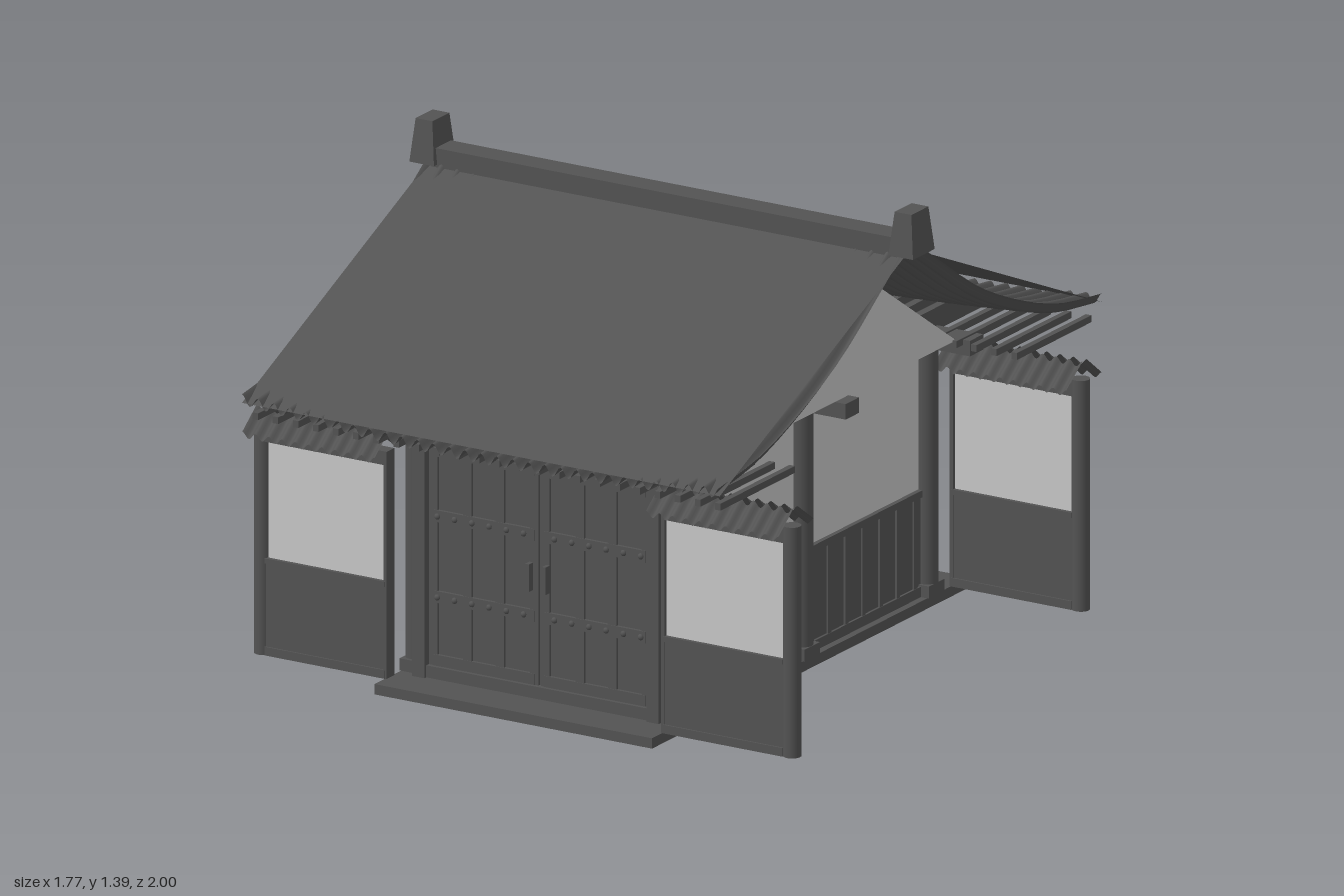
import * as THREE from 'three';

const dark = new THREE.MeshStandardMaterial({ color: 0x535353, side: THREE.DoubleSide });
dark.name = 'charcoal timber and tile';
const light = new THREE.MeshStandardMaterial({ color: 0xc8c8c8, side: THREE.DoubleSide });
light.name = 'pale plaster';

function add(parent, name, geometry, material, x = 0, y = 0, z = 0) {
  const mesh = new THREE.Mesh(geometry, material);
  mesh.name = name;
  mesh.position.set(x, y, z);
  parent.add(mesh);
  return mesh;
}

// Box given by its limits on each axis
function box(parent, name, x0, x1, y0, y1, z0, z1, material = dark) {
  return add(parent, name, new THREE.BoxGeometry(x1 - x0, y1 - y0, z1 - z0), material,
    (x0 + x1) / 2, (y0 + y1) / 2, (z0 + z1) / 2);
}

function post(parent, name, x, z, y0, y1, r) {
  add(parent, name, new THREE.CylinderGeometry(r, r, y1 - y0, 16), dark, x, (y0 + y1) / 2, z);
}

// Corrugated sheet: heightAt(x, v) and zAt(v) give its surface, waves run across x
function tiles(x0, x1, waves, rows, zAt, heightAt, amp) {
  const g = new THREE.PlaneGeometry(1, 1, waves * 8, rows);
  const p = g.attributes.position;
  for (let i = 0; i < p.count; i++) {
    const u = p.getX(i) + 0.5, v = p.getY(i) + 0.5;
    const x = x0 + (x1 - x0) * u;
    const wave = amp * Math.cos(u * waves * Math.PI * 2);
    p.setXYZ(i, x, heightAt(x, v) + wave, zAt(v));
  }
  g.computeVertexNormals();
  return g;
}

// Everything that repeats on the front and the back
function buildEnd() {
  const end = new THREE.Group();

  // Double door with frame, panels, studs and handles
  const door = new THREE.Group();
  door.name = 'doubleDoor';
  end.add(door);
  box(door, 'doorLintel', -0.4, 0.4, 0.705, 0.745, 0.67, 0.715);
  box(door, 'doorSill', -0.4, 0.4, 0.03, 0.065, 0.67, 0.705);
  for (const s of [-1, 1]) {
    const jamb = s * 0.38;
    box(door, 'doorJamb', jamb - 0.02, jamb + 0.02, 0.03, 0.745, 0.67, 0.715);
    const c = s * 0.18;
    box(door, 'doorLeaf', c - 0.18, c + 0.18, 0.06, 0.71, 0.668, 0.685);
    for (const x of [0.018, 0.13, 0.235, 0.345]) {
      box(door, 'doorStile', s * x - 0.014, s * x + 0.014, 0.065, 0.705, 0.685, 0.692);
    }
    for (const y of [0.08, 0.265, 0.5, 0.69]) {
      box(door, 'doorRail', c - 0.165, c + 0.165, y - 0.017, y + 0.017, 0.685, 0.694);
    }
    for (const y of [0.265, 0.5]) {
      for (let i = 0; i < 6; i++) {
        const stud = add(door, 'doorStud', new THREE.SphereGeometry(0.009, 8, 6), dark, s * (0.05 + i * 0.056), y, 0.696);
        stud.scale.z = 0.8;
      }
    }
    box(door, 'doorHandle', s * 0.027 - 0.006, s * 0.027 + 0.006, 0.34, 0.42, 0.69, 0.715);
  }

  // Corner posts and tie beam
  for (const s of [-1, 1]) {
    post(end, 'cornerPost', s * 0.425, 0.65, 0.03, 0.8, 0.032);
    box(end, 'postBase', s * 0.415 - 0.04, s * 0.415 + 0.04, 0.03, 0.065, 0.61, 0.692);
  }
  box(end, 'tieBeam', -0.585, 0.585, 0.755, 0.8, 0.615, 0.685);

  // Wing screens on both sides of the door
  for (const s of [-1, 1]) {
    const wing = new THREE.Group();
    wing.name = 'wingScreen';
    const w = (name, a, b, ...rest) => box(wing, name, Math.min(s * a, s * b), Math.max(s * a, s * b), ...rest);
    w('wingLowerPanel', 0.45, 0.84, 0.03, 0.31, 0.738, 0.772);
    w('wingPlaster', 0.452, 0.84, 0.31, 0.655, 0.745, 0.765, light);
    w('wingTopRail', 0.45, 0.85, 0.65, 0.69, 0.735, 0.775);
    w('wingMidRail', 0.45, 0.84, 0.297, 0.312, 0.733, 0.777);
    w('wingFoot', 0.45, 0.84, 0.03, 0.055, 0.733, 0.777);
    w('wingInnerStile', 0.445, 0.456, 0.03, 0.69, 0.735, 0.775);
    post(wing, 'wingPost', s * 0.858, 0.755, 0.03, 0.7, 0.026);
    const x0 = s > 0 ? 0.44 : -0.87, x1 = s > 0 ? 0.87 : -0.44;
    add(wing, 'wingOuterTiles', tiles(x0, x1, 10, 4, v => 0.845 - 0.078 * v, (x, v) => 0.685 + 0.06 * v, 0.009), dark);
    add(wing, 'wingInnerTiles', tiles(x0, x1, 10, 4, v => 0.66 + 0.085 * v, (x, v) => 0.685 + 0.06 * v, 0.009), dark);
    end.add(wing);
  }

  // Rafters under the eave
  for (let i = 0; i < 24; i++) {
    const x = -0.75 + i * 1.5 / 23;
    box(end, 'eaveRafter', x - 0.009, x + 0.009, 0.785, 0.805, 0.58, 0.97);
    if (Math.abs(x) < 0.46) box(end, 'upperRafter', x - 0.012, x + 0.012, 0.8, 0.853, 0.52, 0.89);
  }

  // Straight roof skin over a sagging, upswept tile sheet
  const skin = new THREE.PlaneGeometry(1.55, Math.hypot(1, 0.437));
  skin.rotateX(-Math.PI / 2 + Math.atan(0.437));
  add(end, 'roofSkin', skin, dark, 0, 1.0565, 0.5);
  const sag = new THREE.SplineCurve([[1, 0.797], [0.78, 0.83], [0.567, 0.9], [0.353, 1.0], [0.14, 1.14], [0, 1.235]]
    .map(([z, y]) => new THREE.Vector2(z, y)));
  const cache = new Map();
  const at = v => {
    if (!cache.has(v)) cache.set(v, sag.getPoint(v));
    return cache.get(v);
  };
  add(end, 'roofTiles', tiles(-0.775, 0.775, 30, 16, v => at(v).x,
    (x, v) => at(v).y + 0.015 + 0.036 * (x / 0.775) ** 2, 0.015), dark);
  return end;
}

export function createModel() {
  const model = new THREE.Group();
  model.name = 'gatehouse';
  box(model, 'platform', -0.45, 0.45, 0, 0.03, -0.83, 0.83);

  const front = buildEnd();
  front.name = 'frontEnd';
  const back = buildEnd();
  back.name = 'backEnd';
  back.rotation.y = Math.PI;
  model.add(front, back);

  // Side walls, gables and ridge ends
  for (const s of [-1, 1]) {
    const side = new THREE.Group();
    side.name = 'sideWall';
    box(side, 'wallPlaster', s * 0.405 - 0.01, s * 0.405 + 0.01, 0.335, 0.742, -0.64, 0.64, light);
    box(side, 'wallBoards', s * 0.41 - 0.012, s * 0.41 + 0.012, 0.03, 0.338, -0.64, 0.64);
    box(side, 'wallRail', s * 0.415 - 0.014, s * 0.415 + 0.014, 0.318, 0.338, -0.63, 0.63);
    box(side, 'wallFoot', s * 0.415 - 0.014, s * 0.415 + 0.014, 0.03, 0.06, -0.63, 0.63);
    for (let i = 0; i < 14; i++) {
      const z = -0.585 + i * 0.09;
      box(side, 'wallBatten', s * 0.42 - 0.008, s * 0.42 + 0.008, 0.03, 0.33, z - 0.008, z + 0.008);
    }
    box(side, 'upperRail', s * 0.42 - 0.01, s * 0.42 + 0.01, 0.756, 0.77, -0.64, 0.64);
    post(side, 'middlePost', s * 0.42, 0, 0.03, 0.8, 0.034);
    box(side, 'postBase', s * 0.42 - 0.035, s * 0.42 + 0.035, 0.03, 0.065, -0.04, 0.04);

    const tri = new THREE.Shape([new THREE.Vector2(-0.6, 0.8), new THREE.Vector2(0.6, 0.8), new THREE.Vector2(0, 1.2)]);
    const gable = new THREE.ExtrudeGeometry(tri, { depth: 0.02, bevelEnabled: false });
    gable.translate(0, 0, -0.01).rotateY(Math.PI / 2);
    add(side, 'gable', gable, light, s * 0.54);

    // Tapered ridge cap
    const cap = new THREE.BoxGeometry(0.08, 0.125, 0.114);
    const p = cap.attributes.position;
    for (let i = 0; i < p.count; i++) {
      if (p.getY(i) > 0) p.setXYZ(i, p.getX(i) * 0.68, p.getY(i), p.getZ(i) * 0.78);
    }
    cap.computeVertexNormals();
    add(side, 'ridgeCap', cap, dark, s * 0.777, 1.328, 0);
    model.add(side);
  }
  box(model, 'middleBeam', -0.585, 0.585, 0.755, 0.8, -0.035, 0.035);
  box(model, 'ceiling', -0.53, 0.53, 0.8, 0.806, -0.6, 0.6);
  box(model, 'ridge', -0.755, 0.755, 1.255, 1.313, -0.04, 0.04);
  return model;
}
